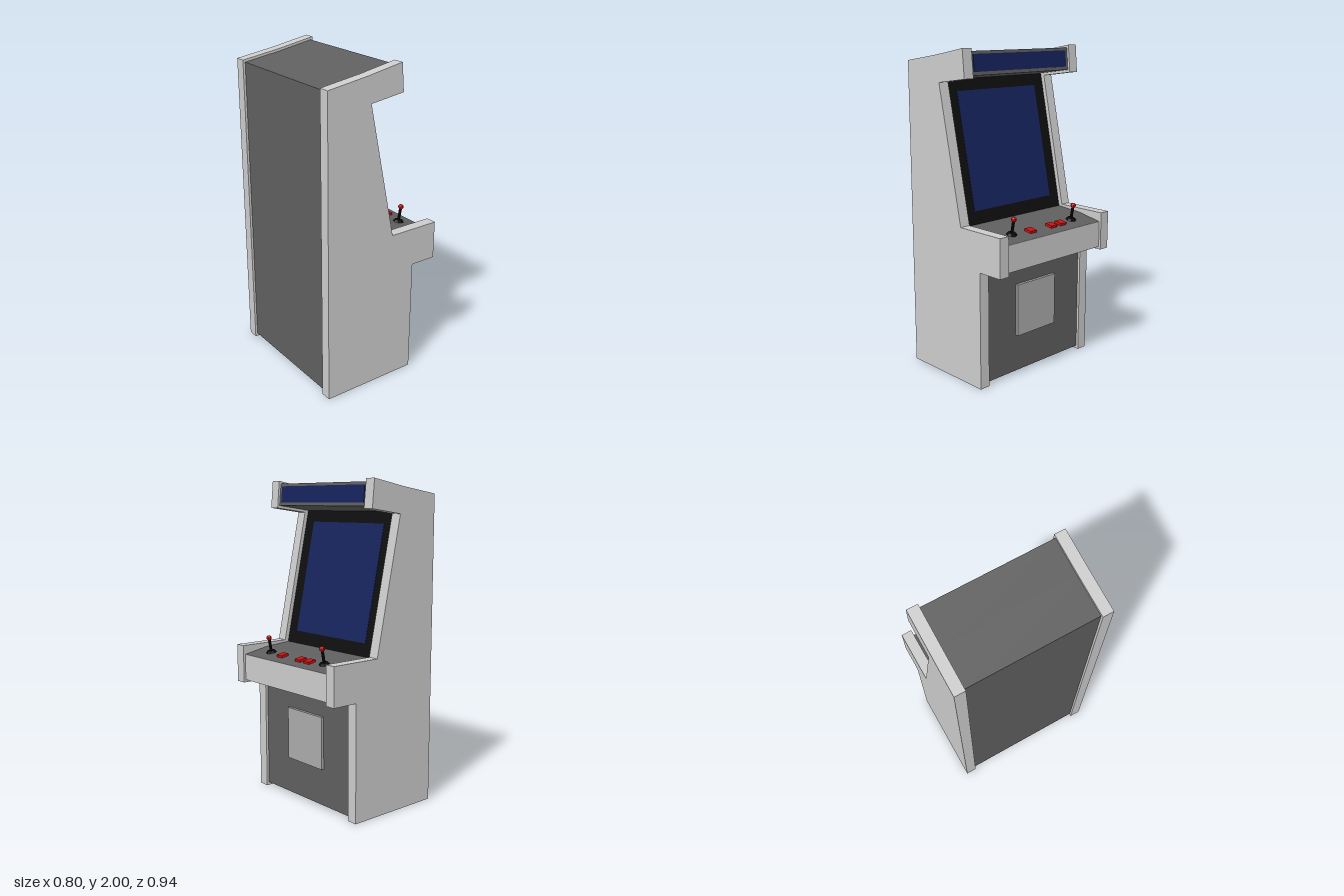
import * as THREE from 'three';

const mat = (color) => new THREE.MeshStandardMaterial({ color, flatShading: true });
const grey = mat(0xcccccc), dark = mat(0x5f5f5f), black = mat(0x0e0e0e);
const blue = mat(0x16235c), red = mat(0xcc1111), doorGrey = mat(0xaaaaaa);

export function createModel() {
  const model = new THREE.Group();

  const add = (name, geometry, material, parent = model) => {
    const mesh = new THREE.Mesh(geometry, material);
    mesh.name = name;
    parent.add(mesh);
    return mesh;
  };

  // An x-y profile extruded along z between two depths
  const slab = (name, points, z0, z1, material) => {
    const shape = new THREE.Shape(points.map(([x, y]) => new THREE.Vector2(x, y)));
    const geometry = new THREE.ExtrudeGeometry(shape, { depth: z1 - z0, bevelEnabled: false });
    return add(name, geometry.translate(0, 0, z0), material);
  };

  // A thin sheet lying on the line a-b, inset from both ends, raised off the surface
  const sheet = (name, a, b, inset0, inset1, halfWidth, raise, material) => {
    const from = new THREE.Vector2(...a), to = new THREE.Vector2(...b);
    const dir = to.clone().sub(from).normalize();
    const length = from.distanceTo(to) - inset0 - inset1;
    const mid = from.clone().addScaledVector(dir, inset0 + length / 2);
    const mesh = add(name, new THREE.BoxGeometry(raise * 2, length, halfWidth * 2), material);
    mesh.position.set(mid.x, mid.y, 0);
    mesh.rotation.z = Math.atan2(dir.y, dir.x) - Math.PI / 2;
    return mesh;
  };

  // Side panels
  const sideProfile = [
    [-0.4, 0], [0.23, 0], [0.23, 0.73], [0.4, 0.73], [0.4, 0.97], [0.065, 0.97],
    [-0.11, 1.8], [0.115, 1.83], [0.1, 2], [-0.14, 1.956], [-0.4, 1.917],
  ];
  slab('leftSidePanel', sideProfile, -0.47, -0.402, grey);
  slab('rightSidePanel', sideProfile, 0.402, 0.47, grey);

  // Cabinet body, slightly inset from the side panels
  const screenBottom = [0.037, 0.957], screenTop = [-0.142, 1.812];
  const marqueeBottom = [0.099, 1.845], marqueeTop = [0.086, 1.982];
  const deckBend = [0.215, 0.944], deckFront = [0.383, 0.912];
  slab('cabinetBody', [
    [-0.385, 0.02], [0.213, 0.02], [0.213, 0.747], [0.383, 0.747], deckFront, deckBend,
    screenBottom, screenTop, marqueeBottom, marqueeTop, [-0.142, 1.94], [-0.385, 1.903],
  ], -0.402, 0.402, dark);

  // Front panels
  sheet('controlBoxFront', [0.383, 0.747], deckFront, 0, 0, 0.402, 0.003, grey);
  sheet('screenBezel', screenBottom, screenTop, 0, 0, 0.402, 0.003, black);
  sheet('screen', screenBottom, screenTop, 0.08, 0.073, 0.325, 0.005, blue);
  sheet('marqueeSign', marqueeBottom, marqueeTop, 0.02, 0.017, 0.383, 0.004, blue);

  // Coin door
  add('coinDoor', new THREE.BoxGeometry(0.03, 0.33, 0.325), doorGrey).position.set(0.217, 0.42, 0);

  // Controls, laid on the sloping front of the deck
  const slope = Math.atan2(deckFront[1] - deckBend[1], deckFront[0] - deckBend[0]);
  const deckY = (x) => deckBend[1] + (x - deckBend[0]) * Math.tan(slope);

  for (const z of [-0.135, -0.053, 0.126]) {
    const button = add('button', new THREE.BoxGeometry(0.052, 0.03, 0.051), red);
    button.position.set(0.298, deckY(0.298), z);
    button.rotation.z = slope;
  }

  for (const z of [-0.25, 0.265]) {
    const joystick = new THREE.Group();
    joystick.name = 'joystick';
    joystick.position.set(0.281, deckY(0.281), z);
    joystick.rotation.z = slope;
    add('joystickBase', new THREE.CylinderGeometry(0.026, 0.034, 0.014, 8), black, joystick).position.y = 0.006;
    add('joystickShaft', new THREE.CylinderGeometry(0.009, 0.009, 0.085, 8), black, joystick).position.y = 0.046;
    add('joystickKnob', new THREE.SphereGeometry(0.017, 8, 6), red, joystick).position.y = 0.096;
    model.add(joystick);
  }

  return model;
}
